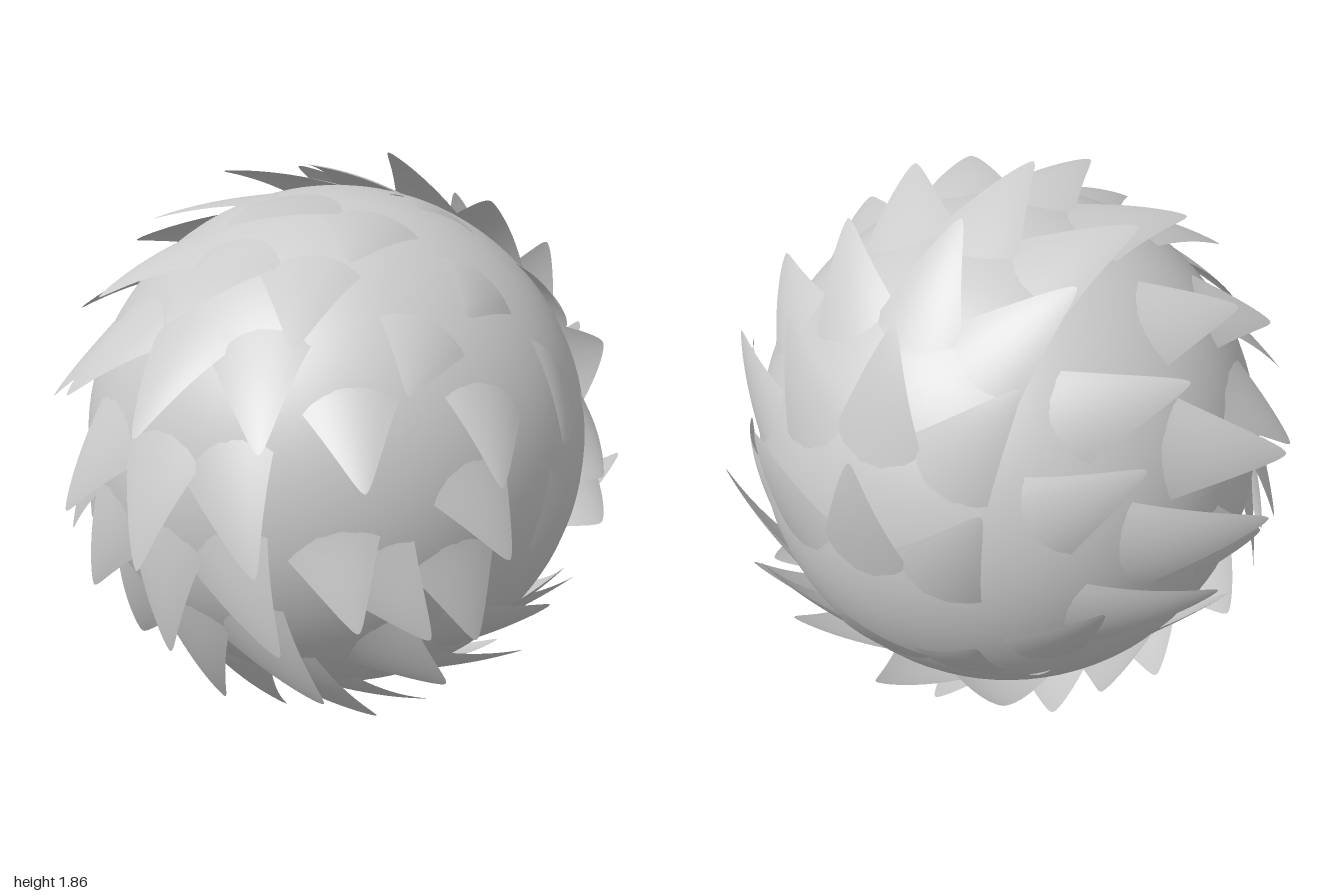
import * as THREE from 'three';

const R = 0.818;
const CENTRE_Y = 0.935;
const mat = new THREE.MeshStandardMaterial({ color: 0xcccccc, side: THREE.DoubleSide });

// Direction from the ball's centre by latitude (towards +x) and angle around the x axis
function direction(latDeg, aDeg) {
  const lat = THREE.MathUtils.degToRad(latDeg), a = THREE.MathUtils.degToRad(aDeg);
  return new THREE.Vector3(Math.sin(lat), Math.cos(lat) * Math.sin(a), Math.cos(lat) * Math.cos(a));
}

// Direction of a point on the side of a sphere of radius r, given z and height y
function sideDirection(side, z, y, r) {
  const v = y - CENTRE_Y;
  return new THREE.Vector3(side * Math.sqrt(r * r - v * v - z * z), v, z).normalize();
}

// Tuft: a flared root that melts into the ball, rising to a narrow rounded tip
function tuftGeometry(root, tip, width, lift) {
  const length = root.angleTo(tip);
  const d = tip.clone().addScaledVector(root, -tip.dot(root)).normalize();
  const e = root.clone().cross(d);
  const rows = 20, cols = 10, pos = [], index = [];
  for (let i = 0; i <= rows; i++) {
    const t = 1 - (1 - i / rows) ** 1.6;
    const w = Math.max(0.002, width * (0.7 * (1 - t) ** 1.3 + 0.3 * Math.sqrt(1 - t)));
    const u = length * t;
    for (let j = 0; j <= cols; j++) {
      const s = (j / cols) * 2 - 1;
      const r = R - 0.008 + (lift + 0.008) * t ** 1.6 - 0.022 * s * s * (1 - t);
      const p = root.clone().multiplyScalar(Math.cos(u)).addScaledVector(d, Math.sin(u));
      p.addScaledVector(e, (w * s) / R).normalize().multiplyScalar(r);
      pos.push(p.x, p.y, p.z);
      if (i < rows && j < cols) {
        const k = i * (cols + 1) + j, m = k + cols + 1;
        index.push(k, m, k + 1, m, m + 1, k + 1);
      }
    }
  }
  const g = new THREE.BufferGeometry();
  g.setAttribute('position', new THREE.Float32BufferAttribute(pos, 3));
  g.setIndex(index);
  g.computeVertexNormals();
  return g;
}

export function createModel() {
  const model = new THREE.Group();
  model.name = 'tuftedBall';

  const ball = new THREE.Mesh(new THREE.SphereGeometry(R, 64, 48), mat);
  ball.name = 'body';
  ball.position.y = CENTRE_Y;
  model.add(ball);

  const coat = new THREE.Group();
  coat.name = 'coat';
  coat.position.y = CENTRE_Y;
  model.add(coat);

  const addTuft = (name, root, tip, width, lift) => {
    const tuft = new THREE.Mesh(tuftGeometry(root, tip, width, lift), mat);
    tuft.name = name;
    coat.add(tuft);
  };

  // Middle band: tips run down the front, under, up the back and over the top
  const tips = [36, 14, -12, -33, -54, -74, -93, -119, -146, -171, -203, -229, -254, -279, -302];
  tips.forEach((a) => {
    addTuft('middleTuft', direction(0, a + 33), direction(0, a), 0.24, 0.12);
    for (const s of [-1, 1]) {
      addTuft('innerTuft', direction(s * 12, a + 33), direction(s * 26, a + 3), 0.24, 0.12);
    }
  });

  // Side tufts swirl around the x axis: tip z, tip y, root z, root y, lift of the tip
  const sideTufts = [
    [0.22, 0.8, 0.3, 1.15, 0.1], [0.27, 0.53, 0.34, 0.9, 0.12], [-0.03, 0.56, 0.32, 0.47, 0.12],
    [0.12, 0.8, -0.24, 0.9, 0.08], [-0.08, 0.68, -0.1, 0.4, 0.1], [-0.09, 1.02, -0.5, 0.98, 0.185],
    [-0.23, 0.8, -0.62, 0.74, 0.13], [0.08, 1.15, -0.3, 1.28, 0.17], [-0.18, 1.47, -0.55, 1.38, 0.12],
    [-0.43, 1.3, -0.68, 1.08, 0.12], [-0.6, 0.87, -0.58, 0.52, 0.12], [-0.47, 0.45, -0.12, 0.35, 0.12],
    [-0.15, 0.3, 0.22, 0.27, 0.12], [0.25, 0.33, 0.52, 0.56, 0.12], [0.43, 0.57, 0.58, 0.88, 0.12],
    [0.62, 0.62, 0.64, 0.96, 0.12], [0.64, 1.08, 0.5, 1.38, 0.12], [0.28, 1.05, 0.12, 1.35, 0.12],
    [0.48, 1.34, 0.18, 1.52, 0.12], [0.22, 1.52, -0.14, 1.57, 0.12], [-0.72, 0.64, -0.52, 0.38, 0.12],
  ];
  for (const [tz, ty, rz, ry, lift] of sideTufts) {
    for (const s of [-1, 1]) {
      addTuft('sideTuft', sideDirection(s, rz, ry, R), sideDirection(s, tz, ty, R + lift), 0.22, lift);
    }
  }
  return model;
}
